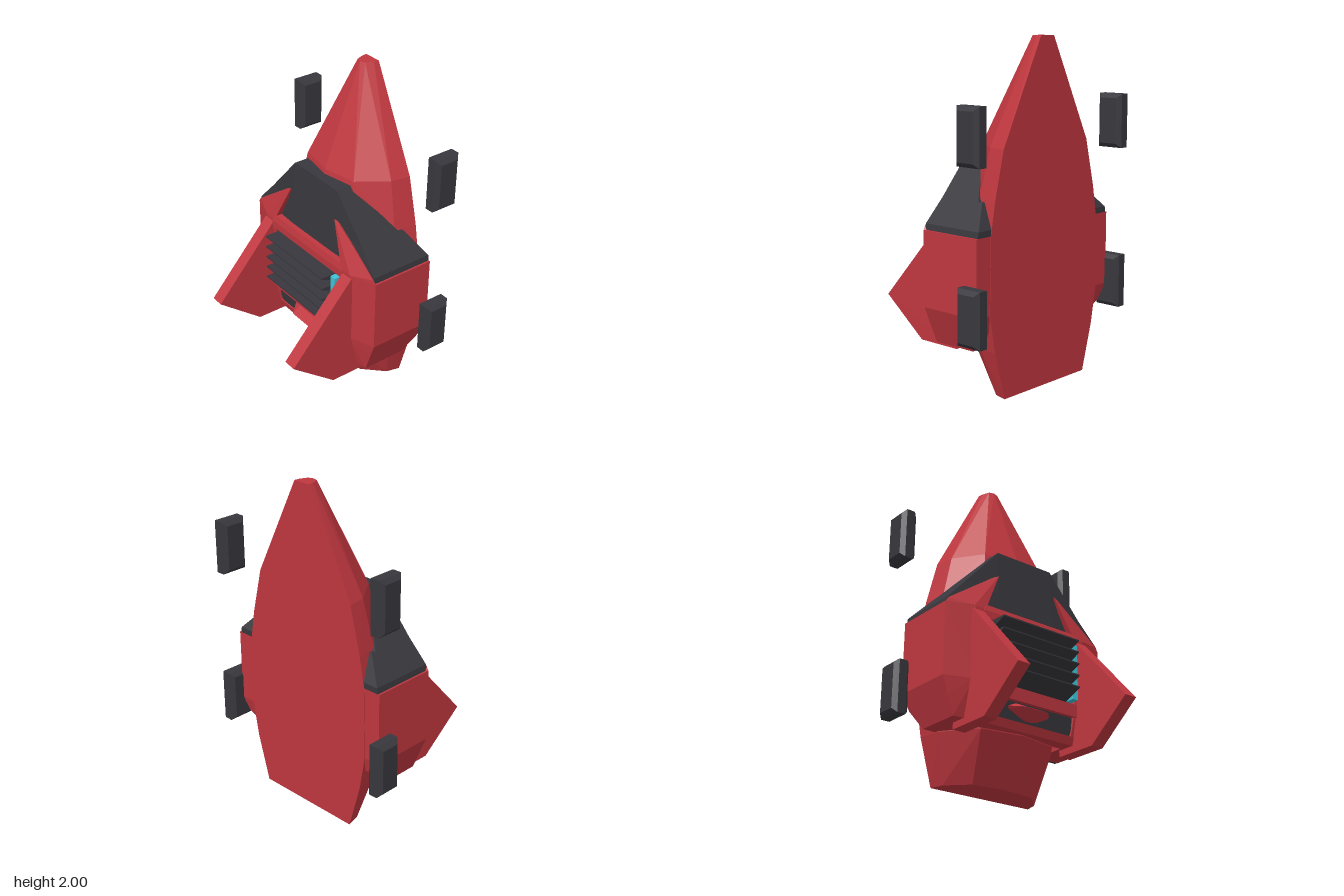
import * as THREE from 'three';
import { ConvexGeometry } from 'three/addons/geometries/ConvexGeometry.js';

const material = (name, color) => {
  const m = new THREE.MeshStandardMaterial({ color });
  m.name = name;
  return m;
};

export function createModel() {
  const model = new THREE.Group();
  model.name = 'vehicle';
  const red = material('red paint', 0xc0373f);
  const dark = material('dark grey', 0x38373d);
  const cyan = material('cyan', 0x3fc3d6);

  const add = (name, geometry, mat) => {
    const mesh = new THREE.Mesh(geometry, mat);
    mesh.name = name;
    model.add(mesh);
    return mesh;
  };
  // Faceted solid spanning a few corner points
  const solid = (name, points, mat) =>
    add(name, new ConvexGeometry(points.map(p => new THREE.Vector3(...p))), mat);
  // Corners on one half, repeated across x = 0
  const both = points => points.flatMap(([x, y, z]) => [[x, y, z], [-x, y, z]]);
  // Box given by its limits
  const box = (name, x0, x1, y0, y1, z0, z1, mat) => {
    const g = new THREE.BoxGeometry(x1 - x0, y1 - y0, z1 - z0);
    g.translate((x0 + x1) / 2, (y0 + y1) / 2, (z0 + z1) / 2);
    return add(name, g, mat);
  };

  // Main hull: half-round sections with a flat back [y, half width, front z]
  const sections = [
    [0, 0.35, -0.16], [0.28, 0.43, -0.01], [0.5, 0.47, 0], [0.95, 0.46, 0],
    [1.12, 0.43, -0.01], [1.4, 0.36, -0.06], [2, 0.055, -0.3],
  ];
  const hullPoints = sections.flatMap(([y, w, front]) => {
    const d = front + 0.39;
    return both([[1, 0], [0.94, 0.36], [0.6, 0.88]].map(([u, v]) => [u * w, y, -0.39 + v * d]))
      .concat([[0, y, front]]);
  });
  solid('hull', hullPoints, red);

  // Dark canopy in two tiers [y, half width, front z, back z]
  const tier = ([y, w, front, back]) =>
    both([[w, y, back], [w, y, front - 0.02], [Math.min(w, 0.2), y, front]]);
  solid('canopyLower', [
    [0.94, 0.56, 0.035, -0.386], [0.975, 0.555, 0.032, -0.386], [1.11, 0.432, 0.022, -0.3],
  ].flatMap(tier), dark);
  solid('canopyUpper', [
    [1.11, 0.432, 0.022, -0.27], [1.37, 0.2, 0.005, -0.09],
  ].flatMap(tier), dark);

  for (const [side, s] of [['left', 1], ['right', -1]]) {
    const mirror = points => points.map(([x, y, z]) => [s * x, y, z]);

    // Side armour [y, outer x, side z, front z, back z]
    const armour = [
      [0.285, 0.49, 0, 0.025, -0.28], [0.4, 0.533, 0.008, 0.05, -0.36],
      [0.5, 0.572, 0.012, 0.07, -0.386], [0.94, 0.572, 0.015, 0.07, -0.386],
    ].flatMap(([y, w, zs, zf, zb]) => [
      [w, y, zb], [w, y, zs], [w - 0.17, y, zf], [0.33, y, zf], [0.33, y, zb],
    ]);
    solid(side + 'Armour', mirror(armour), red);

    // Spike running from the shoulder up over the canopy
    solid(side + 'ShoulderSpike', mirror([
      [0.33, 0.94, 0.07], [0.41, 0.94, 0.07], [0.57, 0.94, 0.015], [0.555, 0.965, 0.018],
      [0.21, 1.2, 0.03], [0.245, 1.185, 0.025],
      [0.33, 0.94, 0], [0.55, 0.94, -0.01], [0.23, 1.18, 0],
    ]), red);

    // Forward prong plate
    const prong = [[-0.09, 0.92], [0.07, 0.92], [0.475, 0.47], [0.19, 0.245], [-0.09, 0.245]];
    solid(side + 'Prong', mirror(prong.flatMap(([z, y]) => [[0.342, y, z], [0.424, y, z]])), red);

    // Bevelled wheels standing free of the hull
    for (const [place, y] of [['lower', 0.36], ['upper', 1.33]]) {
      const y1 = y + 0.32, b = 0.025;
      solid(side + place + 'Wheel', mirror([
        ...[0.563 + b, 0.667 - b].flatMap(x =>
          [y, y1].flatMap(yy => [-0.312, -0.476].map(z => [x, yy, z]))),
        ...[0.563, 0.667].flatMap(x =>
          [y + b, y1 - b].flatMap(yy => [-0.312 - b, -0.476 + b].map(z => [x, yy, z]))),
      ]), dark);
    }
  }

  // Grille: backing, louvres and the light strip
  box('grilleBacking', -0.345, 0.345, 0.5, 0.9, -0.02, 0.015, dark);
  box('grillePost', -0.345, -0.285, 0.51, 0.89, 0, 0.05, dark);
  for (let i = 0; i < 5; i++) {
    const y = 0.885 - i * 0.073;
    const wedge = [[0, y], [0.17, y], [0.17, y - 0.008], [0.01, y - 0.073], [0, y - 0.073]];
    solid('louvre' + (i + 1), both(wedge.map(([z, h]) => [0.28, h, z])), dark);
  }
  box('lightStrip', 0.28, 0.32, 0.535, 0.88, 0, 0.108, cyan);

  // Red bars above and below the grille
  solid('upperBar', both([
    [0.345, 0.885, 0.075], [0.345, 0.885, 0], [0.345, 0.93, 0.075],
    [0.33, 0.97, 0.065], [0.33, 0.97, 0],
  ]), red);
  solid('lowerBar', both([
    [0.345, 0.52, 0.075], [0.345, 0.52, 0], [0.345, 0.445, 0.07], [0.345, 0.445, 0],
  ]), red);

  // Chin: dark panel, red lip and bottom strip
  solid('chinPanel', both([
    [0.345, 0.45, 0.045], [0.345, 0.45, -0.04], [0.31, 0.325, 0.03], [0.31, 0.325, -0.04],
  ]), dark);
  solid('chinLip', both([
    [0.09, 0.44, 0.04], [0.15, 0.41, 0.045], [0.14, 0.395, 0.04],
    [0.08, 0.4, 0.12], [0.05, 0.35, 0.05], [0.02, 0.35, 0.03],
  ]), red);
  solid('chinStrip', both([
    [0.34, 0.333, 0.04], [0.34, 0.333, -0.06], [0.345, 0.285, 0.025], [0.345, 0.285, -0.06],
  ]), red);

  return model;
}
